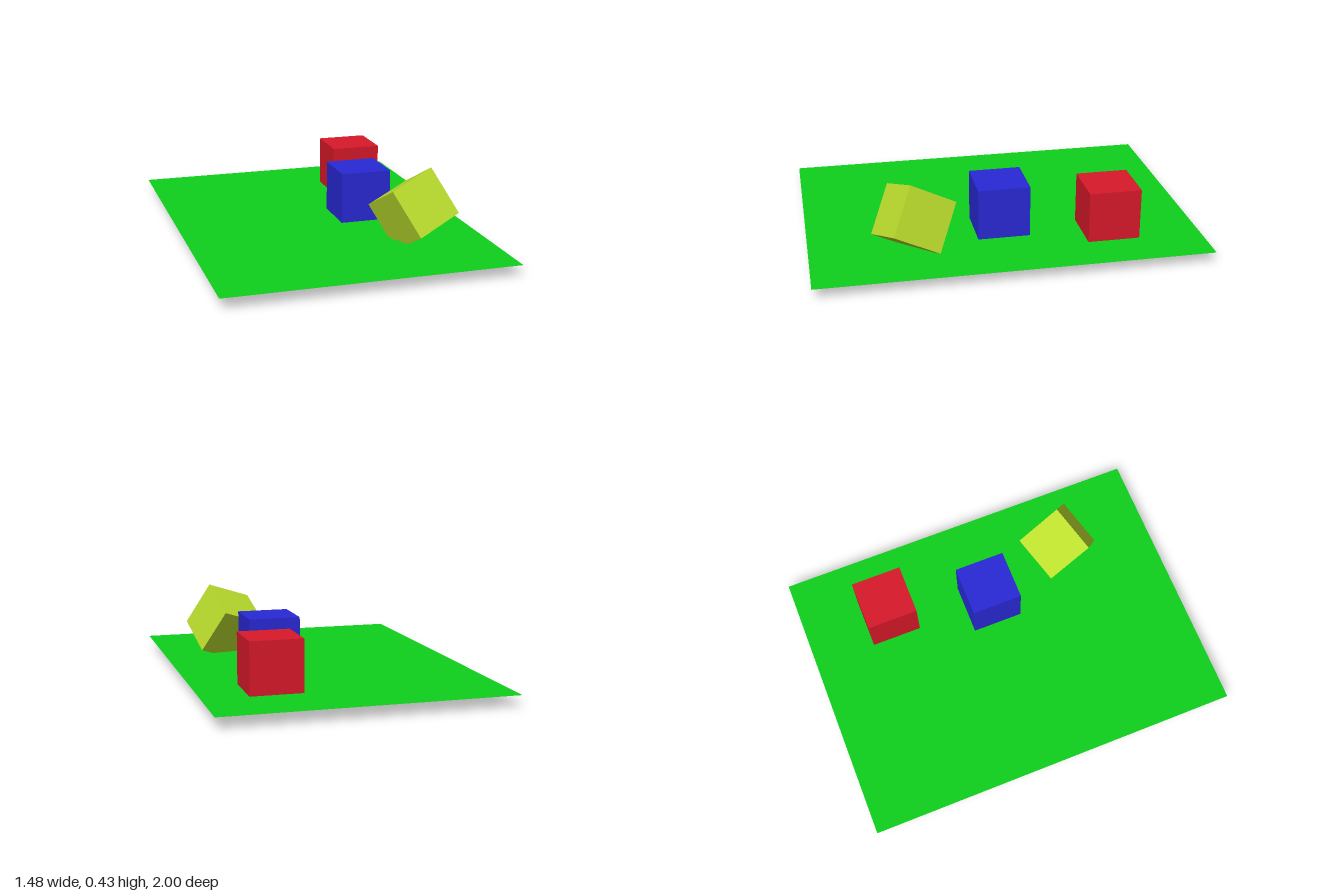
import * as THREE from 'three';

const SIZE = 0.268;

function cube(name, color, x, y, z) {
  const mesh = new THREE.Mesh(
    new THREE.BoxGeometry(SIZE, SIZE, SIZE),
    new THREE.MeshStandardMaterial({ color, flatShading: true })
  );
  mesh.name = name;
  mesh.position.set(x, y, z);
  return mesh;
}

export function createModel() {
  const model = new THREE.Group();
  model.name = 'cubesOnGround';

  // Flat ground sheet, slightly above the lowest cube corner
  const ground = new THREE.Mesh(
    new THREE.PlaneGeometry(1.48, 2).rotateX(-Math.PI / 2),
    new THREE.MeshStandardMaterial({ color: 0x0fd01c, side: THREE.DoubleSide })
  );
  ground.name = 'groundPlane';
  ground.position.y = 0.063;
  model.add(ground);

  // Two upright cubes
  model.add(cube('redCube', 0xd8192a, 0.373, 0.194, -0.538));
  model.add(cube('blueCube', 0x2929d6, 0.245, 0.2, 0.006));

  // Tumbled cube, one corner dipping through the ground
  const tumbled = cube('yellowCube', 0xbadc2d, 0.383, 0.219, 0.469);
  const xAxis = new THREE.Vector3(0.237, 0.083, -0.09).normalize();
  const yAxis = new THREE.Vector3(-0.115, 0.22, -0.1).normalize();
  const zAxis = new THREE.Vector3().crossVectors(xAxis, yAxis).normalize();
  yAxis.crossVectors(zAxis, xAxis);
  tumbled.quaternion.setFromRotationMatrix(new THREE.Matrix4().makeBasis(xAxis, yAxis, zAxis));
  model.add(tumbled);

  return model;
}
